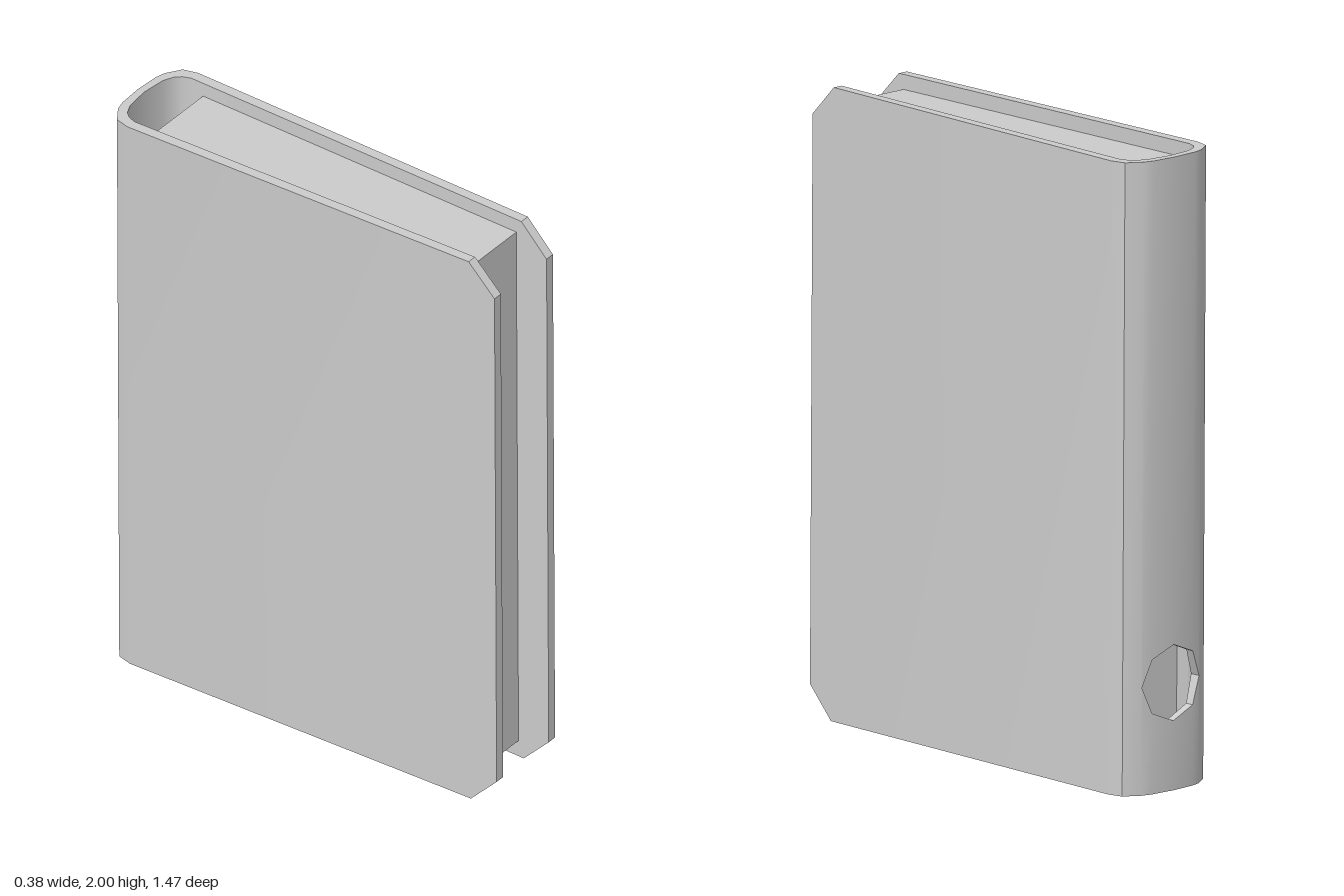
import * as THREE from 'three';
import { toCreasedNormals } from 'three/addons/utils/BufferGeometryUtils.js';

const HEIGHT = 2, HOLE_Y = 0.34;

// The whole book leans very slightly to one side
const lean = (x, y) => x + 0.006 * (1 - y);

// Half of the cover's plan from the front edge to the spine centre:
// outer x, z, inner x, z, corner cut, half-height of the spine hole
const HALF = [
  [0.151, 0.737, 0.118, 0.737, 0.1, 0],
  [0.153, 0.64, 0.12, 0.64, 0, 0],
  [0.183, -0.64, 0.147, -0.64, 0, 0],
  [0.17, -0.69, 0.137, -0.668, 0, 0],
  [0.12, -0.723, 0.12, -0.687, 0, 0],
  [0.085, -0.732, 0.085, -0.703, 0, 0.085],
  [0, -0.737, 0, -0.712, 0, 0.12],
];

function coverGeometry() {
  const mirrored = HALF.slice(0, -1).reverse()
    .map(([ox, oz, ix, iz, cut, hole]) => [-ox, oz, -ix, iz, cut, hole]);
  const stations = [...HALF, ...mirrored];
  const pos = [];
  const quad = (a, b, c, d) => pos.push(...a, ...b, ...c, ...a, ...c, ...d);

  // Cross-section of the wall between two heights
  const section = ([ox, oz, ix, iz], lo, hi) => [
    [lean(ox, lo), lo, oz], [lean(ox, hi), hi, oz],
    [lean(ix, hi), hi, iz], [lean(ix, lo), lo, iz],
  ];
  const full = (s) => section(s, s[4], HEIGHT - s[4]);
  const below = (s) => section(s, s[4], HOLE_Y - s[5]);
  const above = (s) => section(s, HOLE_Y + s[5], HEIGHT - s[4]);

  // Walk round the cover, splitting the wall where the hole passes
  for (let i = 0; i < stations.length - 1; i++) {
    const s = stations[i], t = stations[i + 1];
    for (const piece of s[5] || t[5] ? [below, above] : [full]) {
      const a = piece(s), b = piece(t);
      for (let k = 0; k < 4; k++) {
        const n = (k + 1) % 4;
        quad(a[k], b[k], b[n], a[n]);
      }
    }
  }
  // Front edges of the two boards
  quad(...full(stations[0]));
  quad(...full(stations[stations.length - 1]).reverse());

  const g = new THREE.BufferGeometry();
  g.setAttribute('position', new THREE.Float32BufferAttribute(pos, 3));
  return toCreasedNormals(g, 0.62);
}

// Page block, tapering with the boards
function pagesGeometry() {
  const g = new THREE.BoxGeometry(2, 1.895, 1.215).translate(0, 1.005, 0.0125);
  const p = g.attributes.position;
  for (let i = 0; i < p.count; i++) {
    const half = p.getZ(i) > 0 ? 0.1215 : 0.147;
    p.setX(i, lean(p.getX(i) * half, p.getY(i)));
  }
  return toCreasedNormals(g, 0.5);
}

export function createModel() {
  const group = new THREE.Group();
  group.name = 'book';
  const material = new THREE.MeshStandardMaterial({ color: 0xcccccc });
  const add = (name, geometry) => {
    const mesh = new THREE.Mesh(geometry, material);
    mesh.name = name;
    group.add(mesh);
  };
  add('cover', coverGeometry());
  add('pages', pagesGeometry());
  return group;
}
